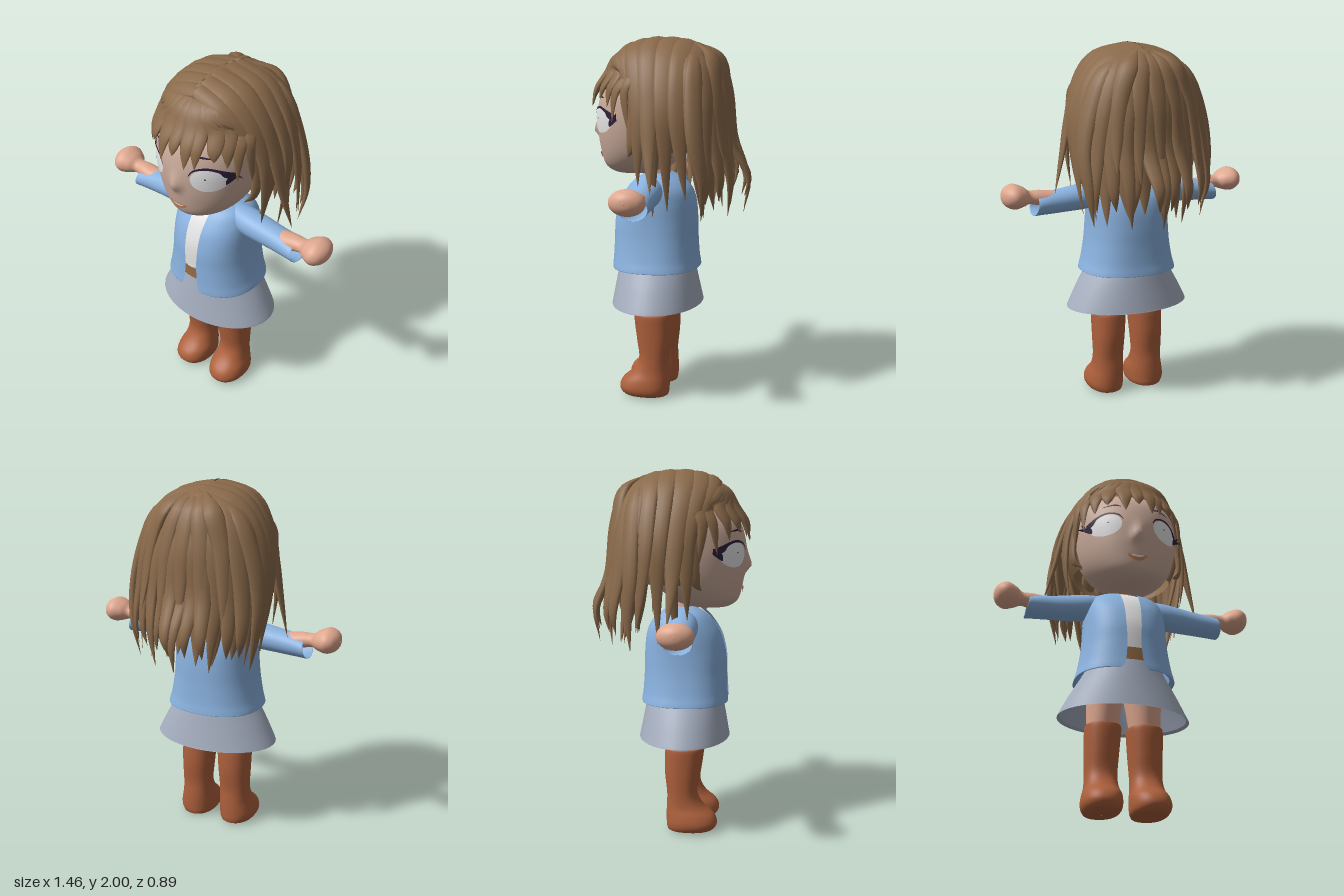
import * as THREE from 'three';

const mat = (name, color, side = THREE.FrontSide) => {
  const m = new THREE.MeshStandardMaterial({ color, side });
  m.name = name;
  return m;
};

// Catmull-Rom densify of rows of numbers
function smooth(rows, k = 5) {
  const out = [];
  for (let i = 0; i < rows.length - 1; i++) {
    const a = rows[Math.max(i - 1, 0)], b = rows[i], c = rows[i + 1], d = rows[Math.min(i + 2, rows.length - 1)];
    for (let s = 0; s < k; s++) {
      const t = s / k;
      out.push(b.map((_, n) => 0.5 * (2 * b[n] + (c[n] - a[n]) * t + (2 * a[n] - 5 * b[n] + 4 * c[n] - d[n]) * t * t
        + (3 * b[n] - a[n] - 3 * c[n] + d[n]) * t * t * t)));
    }
  }
  out.push(rows[rows.length - 1]);
  return out;
}

function grid(pos, nu, nv, wrap) {
  const index = [], w = wrap ? nu : nu + 1;
  for (let i = 0; i < nv; i++) for (let j = 0; j < nu; j++) {
    const a = i * w + j, b = i * w + (wrap ? (j + 1) % nu : j + 1);
    index.push(a, b, b + w, a, b + w, a + w);
  }
  const g = new THREE.BufferGeometry();
  g.setAttribute('position', new THREE.Float32BufferAttribute(pos, 3));
  g.setIndex(index);
  g.computeVertexNormals();
  return g;
}

// Stacked sections, each row: y, half width, front z, back z, centre x, half width of front gap
function loft(rows, { p = 1, segs = 40, open = false } = {}) {
  const pos = [], pw = v => Math.sign(v) * Math.pow(Math.abs(v), p);
  for (const [y, rx, zf, zb, cx = 0, gap = 0] of rows) {
    const a = open ? Math.asin(Math.min(0.95, Math.pow(Math.max(gap, 0) / rx, 1 / p))) : 0;
    const n = open ? segs + 1 : segs;
    for (let j = 0; j < n; j++) {
      const t = a + (2 * Math.PI - 2 * a) * j / segs;
      pos.push(cx + rx * pw(Math.sin(t)), y, (zf + zb) / 2 + (zf - zb) / 2 * pw(Math.cos(t)));
    }
  }
  return grid(pos, segs, rows.length - 1, !open);
}

// Head profile and its front surface
const headRows = smooth([
  [1.252, 0.002, 0.24, 0.236], [1.256, 0.06, 0.31, 0.14], [1.275, 0.12, 0.355, 0.06], [1.31, 0.18, 0.385, 0],
  [1.38, 0.235, 0.403, -0.08], [1.48, 0.272, 0.418, -0.15], [1.6, 0.29, 0.42, -0.19], [1.72, 0.285, 0.385, -0.19],
  [1.82, 0.23, 0.29, -0.13], [1.88, 0.15, 0.2, -0.06], [1.91, 0.002, 0.07, 0.066]]);
const nose = (x, y) => 0.032 * Math.exp(-((x / 0.03) ** 2) - ((y - 1.485) / (y > 1.485 ? 0.06 : 0.03)) ** 2);
function headZ(x, y) {
  let i = 0;
  while (i < headRows.length - 2 && headRows[i + 1][0] < y) i++;
  const a = headRows[i], b = headRows[i + 1], t = THREE.MathUtils.clamp((y - a[0]) / (b[0] - a[0]), 0, 1);
  const [rx, zf, zb] = [1, 2, 3].map(n => a[n] + (b[n] - a[n]) * t);
  const u = Math.min(Math.min(Math.abs(x), 0.262) / rx, 0.99);
  return (zf + zb) / 2 + (zf - zb) / 2 * Math.sqrt(1 - u * u) + nose(x, y);
}

// Thin painted strip lying on the face
function faceStrip(pts, width, lift) {
  const c = new THREE.SplineCurve(pts.map(q => new THREE.Vector2(...q))), pos = [], N = 24;
  for (let i = 0; i <= N; i++) {
    const t = i / N, q = c.getPoint(t), d = c.getTangent(t), w = width(t) / 2;
    for (const k of [-1, 1]) {
      const x = q.x - d.y * w * k, y = q.y + d.x * w * k;
      pos.push(x, y, headZ(x, y) + lift);
    }
  }
  return grid(pos, 1, N, false);
}

function faceDisc(cx, cy, rx, ry, lift) {
  const g = new THREE.RingGeometry(0.001, 1, 36, 6), q = g.attributes.position;
  for (let i = 0; i < q.count; i++) {
    const x = cx + q.getX(i) * rx, y = cy + q.getY(i) * ry;
    q.setXYZ(i, x, y, headZ(x, y) + lift);
  }
  g.computeVertexNormals();
  return g;
}

// Flattened, tapering strand of hair
function strand(pts, width, thick, start) {
  const c = new THREE.CatmullRomCurve3(pts.map(q => new THREE.Vector3(...q))), pos = [], N = 22, S = 10;
  for (let i = 0; i <= N; i++) {
    const t = i / N, q = c.getPoint(t), d = c.getTangent(t);
    const out = q.clone().sub(new THREE.Vector3(0, Math.min(q.y, 1.55), 0.05));
    const side = new THREE.Vector3().crossVectors(d, out).normalize();
    out.crossVectors(side, d).normalize();
    const f = Math.min(1, start + t * 3) * Math.max(1 - t ** 3.2, 0.01);
    for (let j = 0; j < S; j++) {
      const a = -j / S * Math.PI * 2;
      const v = q.clone().addScaledVector(side, Math.cos(a) * width / 2 * f).addScaledVector(out, Math.sin(a) * thick / 2 * f);
      pos.push(v.x, v.y, v.z);
    }
  }
  return grid(pos, S, N, true);
}

export function createModel() {
  const D = THREE.DoubleSide;
  const skin = mat('skin', 0xdfa78e), face = mat('face skin', 0xcaab9b), hair = mat('brown hair', 0x8a6a4b, D);
  const blue = mat('blue jacket', 0x8ab2df, D), grey = mat('grey skirt', 0xa5aebf, D), boot = mat('boot leather', 0xad603c);
  const white = mat('white', 0xe8e7e7, D), belt = mat('belt brown', 0x966c45), dark = mat('dark lash', 0x2d1f3a, D);
  const lip = mat('lip', 0xcb8058, D);
  const model = new THREE.Group();
  const add = (name, g, m, parent = model) => {
    const mesh = new THREE.Mesh(g, m);
    mesh.name = name;
    parent.add(mesh);
  };

  // Boots, legs, arms and sleeves
  for (const s of [1, -1]) {
    const side = s > 0 ? 'left' : 'right';
    add(side + 'Boot', loft(smooth([
      [0, 0.002, 0.14, 0.136, 0.125], [0.006, 0.075, 0.235, 0.02, 0.125], [0.022, 0.098, 0.268, 0.002, 0.126],
      [0.055, 0.106, 0.281, -0.002, 0.128], [0.1, 0.102, 0.262, -0.003, 0.125], [0.15, 0.09, 0.205, -0.002, 0.122],
      [0.22, 0.086, 0.17, 0, 0.121], [0.33, 0.091, 0.182, -0.012, 0.118], [0.42, 0.095, 0.194, -0.013, 0.115],
      [0.475, 0.096, 0.197, -0.01, 0.113], [0.481, 0.085, 0.185, 0, 0.113], [0.473, 0.06, 0.16, 0.03, 0.113]], 4)
      .map(r => [...r.slice(0, 4), s * r[4]]), { p: 0.9 }), boot);
    add(side + 'Leg', loft([[0.45, 0.08, 0.178, 0.005, s * 0.117], [0.6, 0.094, 0.21, -0.025, s * 0.108],
      [0.72, 0.105, 0.235, -0.05, s * 0.1], [0.78, 0.105, 0.235, -0.05, s * 0.1]]), skin);
    // limb rows: x, half height, front z, back z, centre y
    const limb = rows => loft(smooth(rows).map(r => [...r.slice(0, 4), -s * r[4]])).rotateZ(-s * Math.PI / 2);
    const sleeve = limb([[0.09, 0.055, 0.15, 0.03, 1.193], [0.22, 0.073, 0.175, 0.017, 1.17], [0.4, 0.065, 0.168, 0.022, 1.15],
      [0.5, 0.06, 0.17, 0.02, 1.141], [0.545, 0.057, 0.172, 0.018, 1.136], [0.548, 0.054, 0.168, 0.022, 1.136],
      [0.52, 0.052, 0.165, 0.025, 1.138]]);
    const sp = sleeve.attributes.position;
    for (let i = 0; i < sp.count; i++) {
      // cuff slants in toward the top
      const k = THREE.MathUtils.smoothstep(Math.abs(sp.getX(i)), 0.45, 0.54);
      sp.setX(i, sp.getX(i) - s * k * 0.2 * (sp.getY(i) - 1.1));
    }
    sleeve.computeVertexNormals();
    add(side + 'Sleeve', sleeve, blue);
    add(side + 'ArmAndHand', limb([[0.3, 0.035, 0.135, 0.055, 1.166], [0.46, 0.042, 0.148, 0.042, 1.17], [0.52, 0.042, 0.145, 0.046, 1.177],
      [0.575, 0.037, 0.14, 0.052, 1.183], [0.61, 0.054, 0.168, 0.022, 1.19], [0.66, 0.069, 0.19, 0, 1.194],
      [0.7, 0.055, 0.172, 0.018, 1.195], [0.722, 0.03, 0.132, 0.058, 1.196], [0.728, 0.002, 0.097, 0.093, 1.196]]), skin);
  }
  add('hips', loft(smooth([[0.655, 0.01, 0.1, 0.08], [0.67, 0.1, 0.19, 0], [0.72, 0.18, 0.25, -0.07], [0.8, 0.19, 0.27, -0.09]])), skin);

  // Clothes
  add('skirt', loft(smooth([[0.54, 0.342, 0.328, -0.152], [0.53, 0.354, 0.34, -0.164], [0.54, 0.352, 0.339, -0.162],
    [0.65, 0.295, 0.32, -0.14], [0.75, 0.235, 0.303, -0.12], [0.81, 0.205, 0.292, -0.1]])), grey);
  add('belt', loft([[0.795, 0.21, 0.306, -0.11], [0.865, 0.208, 0.306, -0.11]], { p: 0.85 }), belt);
  add('shirt', loft(smooth([[0.865, 0.205, 0.3, -0.11], [1, 0.205, 0.3, -0.11], [1.1, 0.2, 0.275, -0.1], [1.17, 0.19, 0.242, -0.08],
    [1.22, 0.165, 0.2, -0.03], [1.25, 0.1, 0.158, 0.02], [1.256, 0.01, 0.1, 0.08]]), { p: 0.85 }), white);
  add('jacket', loft(smooth([[0.75, 0.245, 0.312, -0.128, 0, 0.085], [0.734, 0.27, 0.333, -0.149, 0, 0.08],
    [0.75, 0.269, 0.335, -0.149, 0, 0.056], [0.8, 0.255, 0.331, -0.142, 0, 0.044], [0.9, 0.237, 0.326, -0.136, 0, 0.038],
    [1, 0.228, 0.322, -0.134, 0, 0.042], [1.1, 0.224, 0.298, -0.125, 0, 0.045], [1.17, 0.216, 0.258, -0.1, 0, 0.048],
    [1.22, 0.19, 0.215, -0.05, 0, 0.05], [1.25, 0.13, 0.172, 0, 0, 0.05], [1.262, 0.082, 0.145, 0.025, 0, 0.05]]),
  { p: 0.85, segs: 56, open: true }), blue);

  // Head and face
  add('neck', new THREE.CylinderGeometry(0.07, 0.075, 0.16, 24).translate(0, 1.29, 0.09), skin);
  const headGeo = loft(headRows, { segs: 80 }), hp = headGeo.attributes.position;
  for (let i = 0; i < hp.count; i++) if (hp.getZ(i) > 0.2) hp.setZ(i, hp.getZ(i) + nose(hp.getX(i), hp.getY(i)));
  headGeo.computeVertexNormals();
  add('head', headGeo, face);
  for (const s of [1, -1]) {
    const m = pts => pts.map(([x, y]) => [s * x, y]);
    add('eye', faceDisc(s * 0.165, 1.553, 0.076, 0.066, 0.005), white);
    add('pupil', faceDisc(s * 0.16, 1.565, 0.004, 0.004, 0.008), dark);
    add('upperLash', faceStrip(m([[0.083, 1.575], [0.11, 1.61], [0.165, 1.625], [0.215, 1.609], [0.25, 1.577], [0.297, 1.568]]),
      t => 0.003 + 0.01 * Math.sin(Math.PI * t) + 0.024 * Math.exp(-(((t - 0.78) / 0.12) ** 2)), 0.009), dark);
    add('lashWing', faceStrip(m([[0.232, 1.525], [0.25, 1.562], [0.283, 1.603]]), t => 0.022 * Math.sin(Math.PI * t), 0.009), dark);
    add('brow', faceStrip(m([[0.09, 1.668], [0.125, 1.682], [0.19, 1.675]]), t => 0.01 * Math.sin(Math.PI * t) + 0.001, 0.006), dark);
  }
  add('lips', faceStrip([[-0.056, 1.371], [-0.028, 1.357], [0, 1.353], [0.028, 1.357], [0.056, 1.371]],
    t => 0.034 * Math.sin(Math.PI * t) + 0.001, 0.007), lip);
  add('teeth', faceStrip([[-0.04, 1.366], [0, 1.361], [0.04, 1.366]], t => 0.012 * Math.sin(Math.PI * t), 0.0095), white);

  // Hair: cap, then strands from the parting, crown and fringe
  const hairGroup = new THREE.Group();
  hairGroup.name = 'hair';
  model.add(hairGroup);
  const cap = new THREE.SphereGeometry(1, 40, 24, 0, Math.PI * 2, 0, 2.15).scale(0.33, 0.37, 0.31).translate(0, 1.6, 0.05);
  const cp = cap.attributes.position;
  for (let i = 0; i < cp.count; i++) if (cp.getY(i) < 1.75) cp.setZ(i, Math.min(cp.getZ(i), 0.12));
  cap.computeVertexNormals();
  add('hairCap', cap, hair, hairGroup);

  // side strands: root z, root y, widest x, middle z, tip x, tip y, tip z, width
  const sides = [
    [0.24, 1.945, 0.3, 0.155, 0.26, 1.37, 0.195, 0.1], [0.18, 1.965, 0.33, 0.12, 0.32, 1.22, 0.125, 0.12],
    [0.1, 1.978, 0.35, 0.06, 0.45, 1.2, 0.03, 0.13], [0.05, 1.976, 0.335, 0.03, 0.22, 1.03, 0.07, 0.13],
    [-0.01, 1.976, 0.36, -0.03, 0.31, 1.09, -0.03, 0.14], [-0.09, 1.962, 0.355, -0.1, 0.37, 1.16, -0.14, 0.14],
    [-0.15, 1.94, 0.33, -0.16, 0.31, 1.09, -0.21, 0.13]];
  for (const s of [1, -1]) for (const [z0, y0, xm, zm, tx, ty, tz, w] of sides) {
    add('sideStrand', strand([[0, y0, z0], [s * xm * 0.5, y0 - 0.045, z0], [s * xm * 0.8, 1.81, (z0 + zm) / 2],
      [s * xm, 1.62, zm], [s * (xm * 0.7 + tx * 0.3 + 0.015), 1.42, zm * 0.7 + tz * 0.3], [s * tx, ty, tz]], w, 0.05, 0.9), hair, hairGroup);
  }
  for (let i = 0; i < 13; i++) {
    const X = (i - 6) / 6 * 0.37, c = Math.sqrt(1 - (X / 0.42) ** 2), j = Math.sin(i * 2.4 + 1);
    const flick = 0.075 * Math.exp(-((X / 0.12) ** 2));
    add('backStrand', strand([[0.15 * X, 1.95, -0.14], [0.6 * X, 1.87, -0.09 - 0.135 * c], [0.85 * X, 1.69, -0.05 - 0.245 * c],
      [X, 1.45, -0.05 - 0.27 * c + 0.012 * j], [1.02 * X + 0.02 * j, 1.25, -0.07 - 0.28 * c - flick + 0.025 * j],
      [0.95 * X + 0.03 * j, 1.11 - 0.06 * Math.cos(i * 2.1), -0.06 - 0.28 * c - flick * 0.8 + 0.02 * j]], 0.115, 0.055, 0.1), hair, hairGroup);
  }
  // inner layer lying close to the nape
  for (let i = 0; i < 6; i++) {
    const X = (i - 2.5) * 0.095, q = X * X;
    add('napeStrand', strand([[0.9 * X, 1.6, -0.22 + q], [X, 1.42, -0.24 + q], [1.05 * X, 1.25, -0.25 + q],
      [X + 0.02 * Math.sin(i * 3), 1.08 + 0.03 * Math.cos(i * 2), -0.27 + q]], 0.1, 0.045, 0.6), hair, hairGroup);
  }
  // shorter top layer at the crown
  for (let i = 0; i < 5; i++) {
    const X = (i - 2) * 0.1;
    add('crownStrand', strand([[0.15 * X, 1.967, -0.12], [0.65 * X, 1.893, -0.23], [X, 1.72, -0.3 + X * X],
      [1.15 * X, 1.5, -0.33 + X * X], [1.2 * X, 1.3 + 0.05 * Math.sin(i * 2), -0.365 + X * X]], 0.11, 0.05, 0.15), hair, hairGroup);
  }
  // fringe: tip x, tip y, width
  const fringe = [[-0.305, 1.44, 0.1], [-0.275, 1.56, 0.11], [-0.225, 1.63, 0.11], [-0.165, 1.67, 0.11], [-0.075, 1.62, 0.12],
    [0.0, 1.67, 0.1], [0.075, 1.62, 0.11], [0.125, 1.63, 0.1], [0.2, 1.67, 0.11], [0.245, 1.63, 0.11], [0.28, 1.55, 0.11], [0.305, 1.44, 0.1]];
  for (const [x, y, w] of fringe) {
    const at = (px, py, lift) => [px, py, headZ(px, py) + lift];
    const side = Math.abs(x) > 0.29 ? 0.05 : 0;
    add('fringeStrand', strand([[0.08 * x, 1.952, 0.22], [0.5 * x, 1.89, 0.312 - x * x * 0.5], at(0.85 * x, 1.8, 0.055),
      at(0.97 * x, 1.72, 0.04 - side), at(x, y, 0.034 - side)], w, 0.04, 0.1), hair, hairGroup);
  }
  return model;
}
